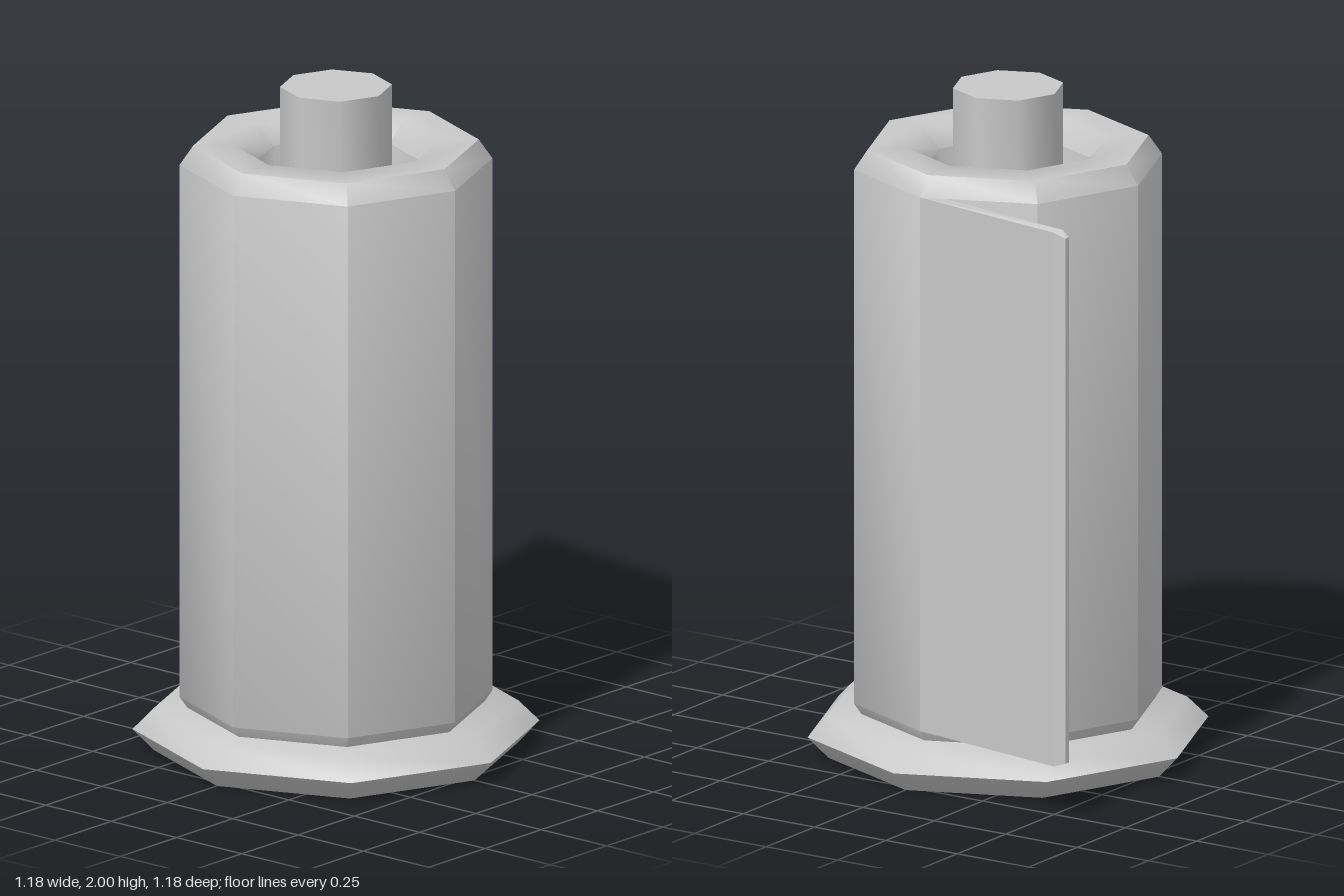
import * as THREE from 'three';
import { toCreasedNormals } from 'three/addons/utils/BufferGeometryUtils.js';

const grey = new THREE.MeshStandardMaterial({ color: 0xc8c8c8 });
grey.name = 'grey';

// Eight-sided turned part; profile is [radius, height] pairs, outside running upwards
function turned(name, profile) {
  const points = profile.map(([r, y]) => new THREE.Vector2(r, y));
  const geometry = toCreasedNormals(new THREE.LatheGeometry(points, 8), THREE.MathUtils.degToRad(50));
  const mesh = new THREE.Mesh(geometry, grey);
  mesh.name = name;
  return mesh;
}

// Loose end of the paper, leaving the roll at its left side and running back
function makeSheet() {
  const bottom = 0.16, top = 1.77, chamfer = 0.013;
  const outline = [[0.455, 0], [0.545, 0.53], [0.54, 0.568], [0.522, 0.568], [0.505, 0.535], [0.415, 0]];
  const shape = new THREE.Shape(outline.map(([x, back]) => new THREE.Vector2(x, back)));
  const geometry = new THREE.ExtrudeGeometry(shape, { depth: top - bottom, bevelEnabled: false });
  geometry.rotateX(-Math.PI / 2).translate(0, bottom, 0);
  // Trim the corners of the free edge
  const p = geometry.attributes.position;
  for (let i = 0; i < p.count; i++) {
    if (p.getZ(i) < -0.56) p.setY(i, p.getY(i) + (p.getY(i) > 1 ? -chamfer : chamfer));
  }
  geometry.computeVertexNormals();
  const mesh = new THREE.Mesh(geometry, grey);
  mesh.name = 'looseSheet';
  return mesh;
}

export function createModel() {
  const group = new THREE.Group();
  group.name = 'paperTowelHolder';
  group.add(
    turned('base', [[0, 0], [0.53, 0], [0.592, 0.065], [0.53, 0.127], [0, 0.127]]),
    turned('post', [[0.163, 0.11], [0.163, 2], [0, 2]]),
    // Hollow roll with chamfered rims
    turned('paperRoll', [
      [0.3, 0.1], [0.415, 0.1], [0.455, 0.16], [0.455, 1.77], [0.415, 1.828],
      [0.3, 1.828], [0.24, 1.77], [0.24, 0.16], [0.3, 0.1],
    ]),
    makeSheet(),
  );
  return group;
}
